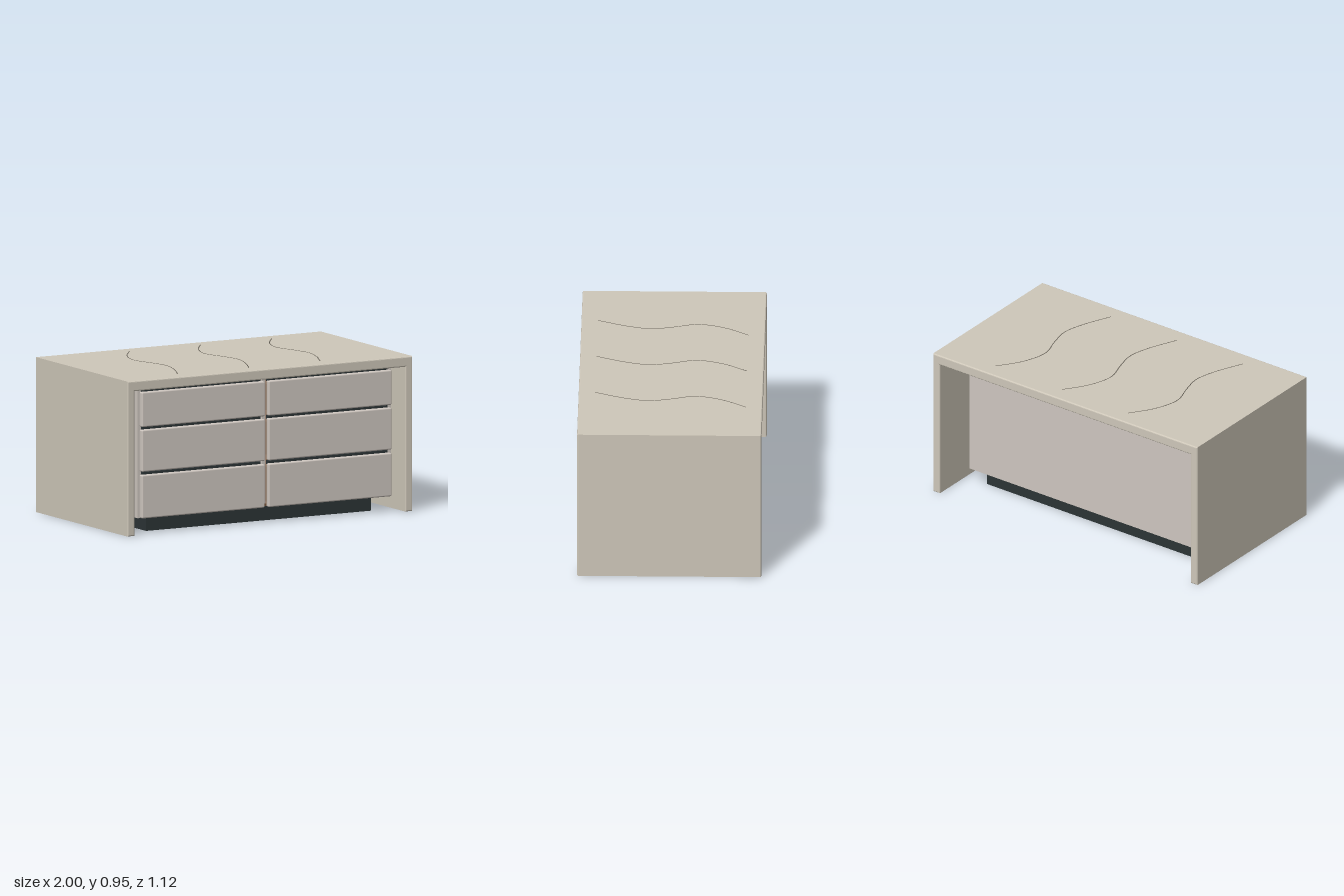
import * as THREE from 'three';
import { RoundedBoxGeometry } from 'three/addons/geometries/RoundedBoxGeometry.js';

const mat = (color) => new THREE.MeshStandardMaterial({ color });
const stone = mat(0xcfc8ba), lacquer = mat(0xcfc7c0), dark = mat(0x2c3436);
const wood = mat(0x7a573d), inlay = mat(0x69645a);

export function createModel() {
  const root = new THREE.Group();

  const add = (name, geometry, material, parent = root) => {
    const mesh = new THREE.Mesh(geometry, material);
    mesh.name = name;
    parent.add(mesh);
    return mesh;
  };
  // Box given by its limits on each axis, optionally with rounded edges
  const box = (name, material, [x0, x1], [y0, y1], [z0, z1], radius = 0, parent = root) => {
    const size = [x1 - x0, y1 - y0, z1 - z0];
    const geometry = radius
      ? new RoundedBoxGeometry(...size, 2, radius)
      : new THREE.BoxGeometry(...size);
    const mesh = add(name, geometry, material, parent);
    mesh.position.set((x0 + x1) / 2, (y0 + y1) / 2, (z0 + z1) / 2);
    return mesh;
  };

  // Waterfall shell: top and two side slabs as one bevelled arch
  const H = 0.953, D = 0.56, bevel = 0.008;
  const arch = new THREE.Shape([
    [-1, 0], [-0.95, 0], [-0.95, 0.89], [0.95, 0.89],
    [0.95, 0], [1, 0], [1, H], [-1, H],
  ].map(([x, y]) => new THREE.Vector2(x, y)));
  const shell = new THREE.ExtrudeGeometry(arch, {
    depth: 2 * (D - bevel), bevelThickness: bevel, bevelSize: bevel,
    bevelOffset: -bevel, bevelSegments: 3,
  });
  shell.translate(0, 0, -D + bevel);
  add('waterfallShell', shell, stone);

  // Wavy inlays in the top
  for (const [i, x] of [-0.5, 0, 0.5].entries()) {
    const path = new THREE.CatmullRomCurve3([
      [0.10, -0.46], [0, -0.31], [-0.045, -0.15], [-0.005, 0],
      [0.02, 0.13], [-0.01, 0.27], [-0.09, 0.46],
    ].map(([dx, z]) => new THREE.Vector3(x + dx, H - 0.001, z)));
    add(`waveInlay${i + 1}`, new THREE.TubeGeometry(path, 60, 0.003, 6), inlay);
  }

  // Cabinet carcass, standing clear of the side slabs
  const carcass = new THREE.Group();
  carcass.name = 'carcass';
  root.add(carcass);
  const panel = (name, x, y, z, m = lacquer) => box(name, m, x, y, z, 0, carcass);
  for (const s of [-1, 1]) {
    panel('sidePanel', s < 0 ? [-0.89, -0.865] : [0.865, 0.89], [0.095, 0.89], [-0.31, 0.49]);
  }
  panel('backPanel', [-0.89, 0.89], [0.095, 0.89], [-0.335, -0.31]);
  panel('divider', [-0.012, 0.012], [0.1, 0.885], [-0.31, 0.48]);
  panel('rearBottom', [-0.865, 0.865], [0.095, 0.115], [-0.31, 0.01]);
  panel('frontBottom', [-0.865, 0.865], [0.1, 0.115], [0.01, 0.49], wood);

  // Two columns of three drawers with a dark finger groove above each
  const rows = [[0.095, 0.362], [0.382, 0.64], [0.657, 0.872]];
  for (const s of [-1, 1]) {
    const span = (a, b) => (s < 0 ? [-b, -a] : [a, b]);
    rows.forEach(([y0, y1], i) => {
      const drawer = new THREE.Group();
      drawer.name = `drawer${s < 0 ? 'Right' : 'Left'}${i + 1}`;
      root.add(drawer);
      box('drawerFront', lacquer, span(0.013, 0.877), [y0, y1], [0.485, 0.522], 0.009, drawer);
      box('drawerBox', wood, span(0.04, 0.84), [y0 + 0.025, y1 - 0.03], [0, 0.485], 0, drawer);
      box('fingerGroove', dark, span(0.03, 0.86), [y1 - 0.01, y1 + 0.014], [0.46, 0.495], 0, drawer);
    });
  }

  // Recessed plinth
  box('plinth', dark, [-0.79, 0.79], [0, 0.098], [-0.29, 0.42]);

  return root;
}
